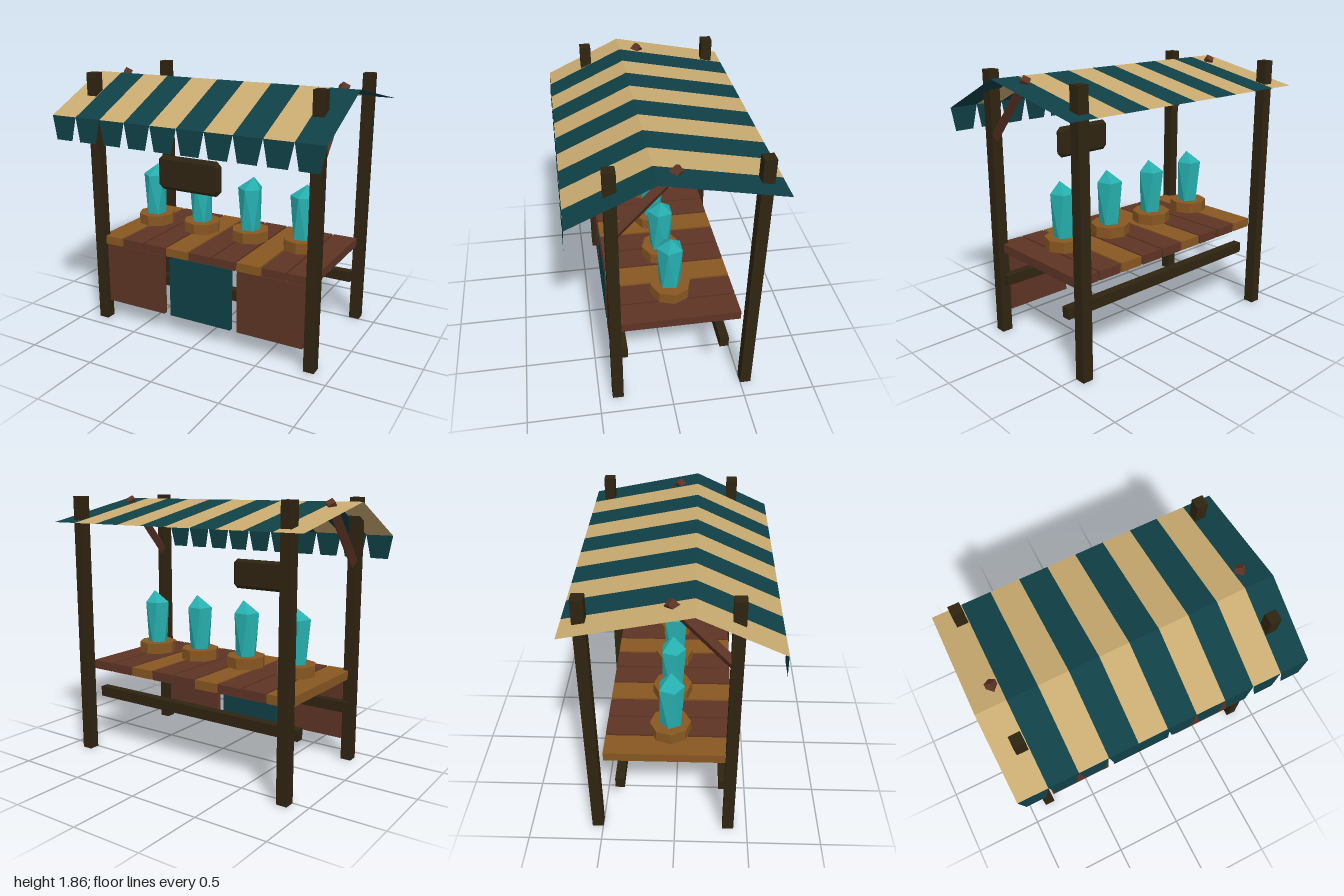
import * as THREE from 'three';

const mat = (name, color, extra = {}) => {
  const m = new THREE.MeshStandardMaterial({ color, flatShading: true, ...extra });
  m.name = name;
  return m;
};

export function createModel() {
  const root = new THREE.Group();
  root.name = 'marketStall';

  const darkWood = mat('dark wood', 0x2f2411);
  const redWood = mat('red wood', 0x5e3425);
  const goldWood = mat('golden wood', 0x875721);
  const tealPanel = mat('teal panel', 0x0f4046);
  const tealCloth = mat('teal cloth', 0x0f4046, { side: THREE.DoubleSide });
  const tanCloth = mat('tan cloth', 0xc8aa70, { side: THREE.DoubleSide });
  const crystalMat = mat('turquoise crystal', 0x27b0b0);

  const add = (name, geo, material, x = 0, y = 0, z = 0) => {
    const m = new THREE.Mesh(geo, material);
    m.name = name;
    m.position.set(x, y, z);
    root.add(m);
    return m;
  };
  const box = (name, material, w, h, d, x, y, z) =>
    add(name, new THREE.BoxGeometry(w, h, d), material, x, y, z);

  // Surface through rows of two points (left, right), first row at the top back
  const sheet = (rows) => {
    const g = new THREE.BufferGeometry();
    const index = [];
    for (let i = 0; i < rows.length - 1; i++) {
      const a = i * 2;
      index.push(a, a + 2, a + 1, a + 1, a + 2, a + 3);
    }
    g.setAttribute('position', new THREE.Float32BufferAttribute(rows.flat(2), 3));
    g.setIndex(index);
    const flat = g.toNonIndexed();
    flat.computeVertexNormals();
    return flat;
  };

  // Posts and diagonal canopy braces
  for (const s of [-1, 1]) {
    for (const z of [0.37, -0.537]) {
      box('post', darkWood, 0.076, 1.86, 0.076, s * 0.844, 0.935, z);
    }
    const from = new THREE.Vector3(s * 0.844, 1.4, 0.37);
    const to = new THREE.Vector3(s * 0.844, 1.84, -0.03);
    const dir = to.clone().sub(from);
    const brace = add('brace', new THREE.CylinderGeometry(0.037, 0.037, dir.length(), 4), redWood);
    brace.position.copy(from).lerp(to, 0.5);
    brace.quaternion.setFromUnitVectors(new THREE.Vector3(0, 1, 0), dir.normalize());
  }

  // Cross beams
  for (const z of [0.322, -0.367]) {
    box('crossBeam', darkWood, 1.7, 0.075, 0.062, 0, 0.405, z);
  }

  // Counter planks: every third one is golden
  for (let i = 0; i < 9; i++) {
    box('counterPlank', i % 3 ? redWood : goldWood, 0.174, 0.063, 0.85, (i - 4) * 0.188, 0.634, -0.045);
  }

  // Front panels
  [redWood, tealPanel, redWood].forEach((m, i) => {
    box('frontPanel', m, 0.49, 0.455, 0.035, (i - 1) * 0.543 - 0.002, 0.378, 0.368);
  });

  // Striped canopy and hanging flaps
  for (let i = 0; i < 10; i++) {
    const x0 = -1 + i * 0.2, x1 = x0 + 0.2;
    const row = (y, z, inset = 0) => [[x0 + inset, y, z], [x1 - inset, y, z]];
    add('canopyStripe', sheet([row(1.685, -0.65), row(1.84, 0.12), row(1.595, 0.642)]),
      i % 2 ? tealCloth : tanCloth);
    add('canopyFlap', sheet([row(1.595, 0.642), row(1.43, 0.65, 0.034)]), tealCloth);
  }

  // Blank hanging sign with chamfered edges
  const c = 0.018, w = 0.212, h = 0.093;
  const outline = [[-w + c, -h], [w - c, -h], [w, -h + c], [w, h - c],
    [w - c, h], [-w + c, h], [-w, h - c], [-w, -h + c]].map(([x, y]) => new THREE.Vector2(x, y));
  add('signBoard', new THREE.ExtrudeGeometry(new THREE.Shape(outline), {
    depth: 0.014, bevelEnabled: true, bevelThickness: 0.02, bevelSize: 0.022, bevelSegments: 1,
  }), darkWood, 0, 1.26, 0.483);

  // Twisted crystals: the lower ring is turned and the tip leans sideways
  const shaft = new THREE.CylinderGeometry(0.09, 0.074, 0.32, 5, 1, true);
  const p = shaft.attributes.position;
  for (let i = 0; i < p.count; i++) {
    if (p.getY(i) > 0) continue;
    const v = new THREE.Vector3().fromBufferAttribute(p, i);
    v.applyAxisAngle(new THREE.Vector3(0, 1, 0), 0.75);
    p.setXYZ(i, v.x, v.y, v.z);
  }
  const tip = new THREE.ConeGeometry(0.09, 0.085, 5, 1, true);
  const t = tip.attributes.position;
  for (let i = 0; i < t.count; i++) {
    if (t.getY(i) > 0) t.setX(i, t.getX(i) + 0.027);
  }
  for (let i = 0; i < 4; i++) {
    const x = -0.629 + i * 0.406, z = -0.035;
    add('crystalBase', new THREE.CylinderGeometry(0.137, 0.137, 0.077, 8, 1, false, 0.07), goldWood, x, 0.728, z);
    add('crystalShaft', shaft, crystalMat, x, 0.91, z + 0.005);
    add('crystalTip', tip, crystalMat, x, 1.1125, z + 0.005);
  }

  return root;
}
